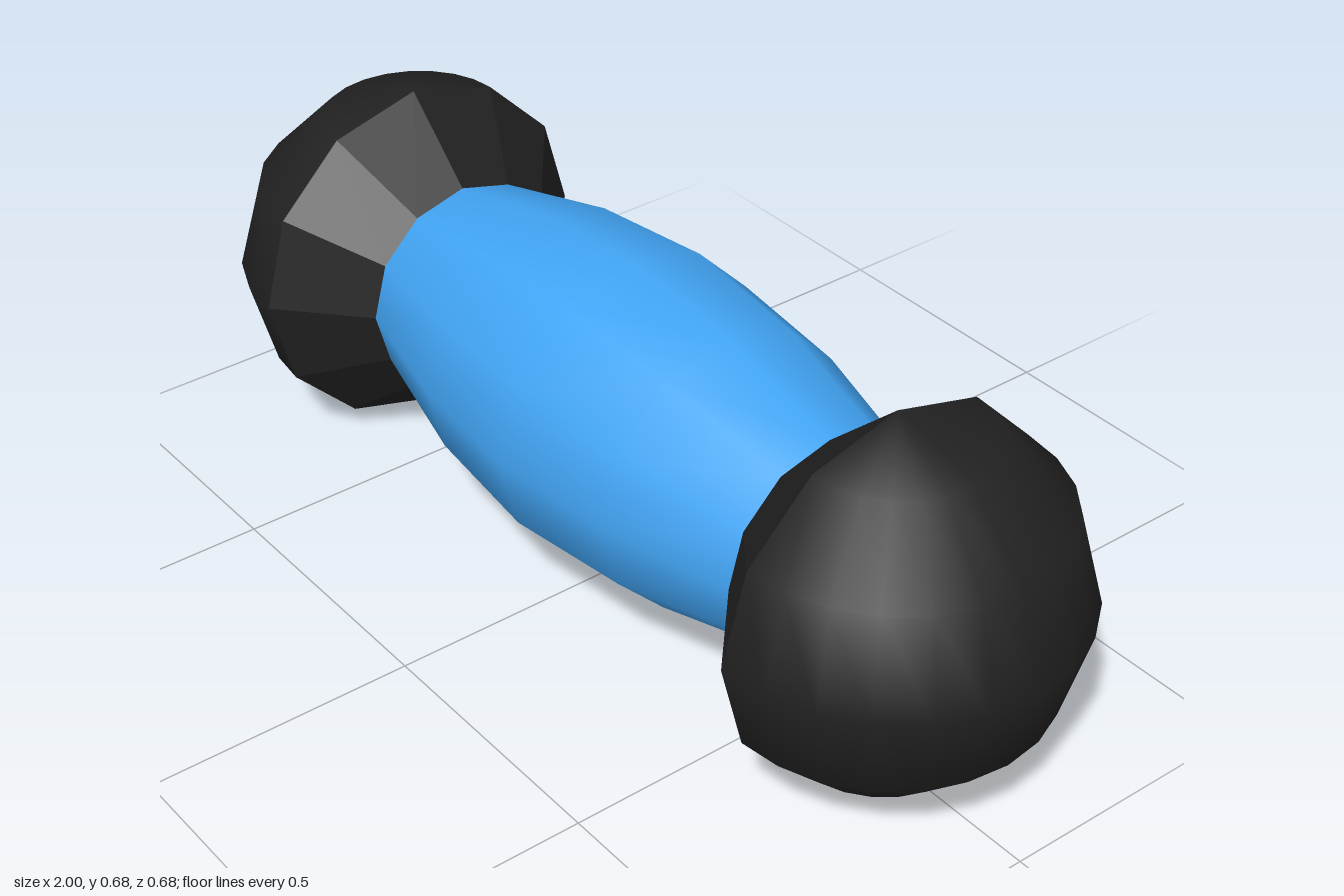
import * as THREE from 'three';

const R = 0.341;          // end cap radius
const SIDES = 12;
const X_IN = 0.51;        // where the handle meets the collar
const X_OUT = 0.659;      // where the collar meets the dome
const GRIP_END = 0.203;   // handle radius at its ends

export function createModel() {
  const model = new THREE.Group();
  model.name = 'dumbbell';
  const black = new THREE.MeshStandardMaterial({ color: 0x212121 });
  const blackFlat = new THREE.MeshStandardMaterial({ color: 0x212121, flatShading: true });
  const blue = new THREE.MeshStandardMaterial({ color: 0x42a5f5 });

  // Handle: barrel-shaped grip along x
  const profile = [
    [GRIP_END, -X_IN], [0.266, -X_IN / 2], [0.291, 0], [0.266, X_IN / 2], [GRIP_END, X_IN],
  ].map(([r, y]) => new THREE.Vector2(r, y));
  const handle = new THREE.Mesh(new THREE.LatheGeometry(profile, SIDES), blue);
  handle.name = 'handle';
  handle.rotation.z = -Math.PI / 2;
  handle.position.y = R;
  model.add(handle);

  // Weights: faceted collar plus half-sphere dome, one at each end
  const collarGeo = new THREE.CylinderGeometry(R, GRIP_END, X_OUT - X_IN, SIDES, 1, true);
  collarGeo.rotateZ(-Math.PI / 2);
  const domeGeo = new THREE.SphereGeometry(R, 12, 6, Math.PI / 2, Math.PI);

  for (const side of ['left', 'right']) {
    const weight = new THREE.Group();
    weight.name = side + 'Weight';
    const collar = new THREE.Mesh(collarGeo, blackFlat);
    collar.name = side + 'Collar';
    collar.position.x = (X_IN + X_OUT) / 2;
    const dome = new THREE.Mesh(domeGeo, black);
    dome.name = side + 'Dome';
    dome.position.x = X_OUT;
    weight.add(collar, dome);
    weight.position.y = R;
    if (side === 'right') weight.rotation.y = Math.PI;
    model.add(weight);
  }
  return model;
}
